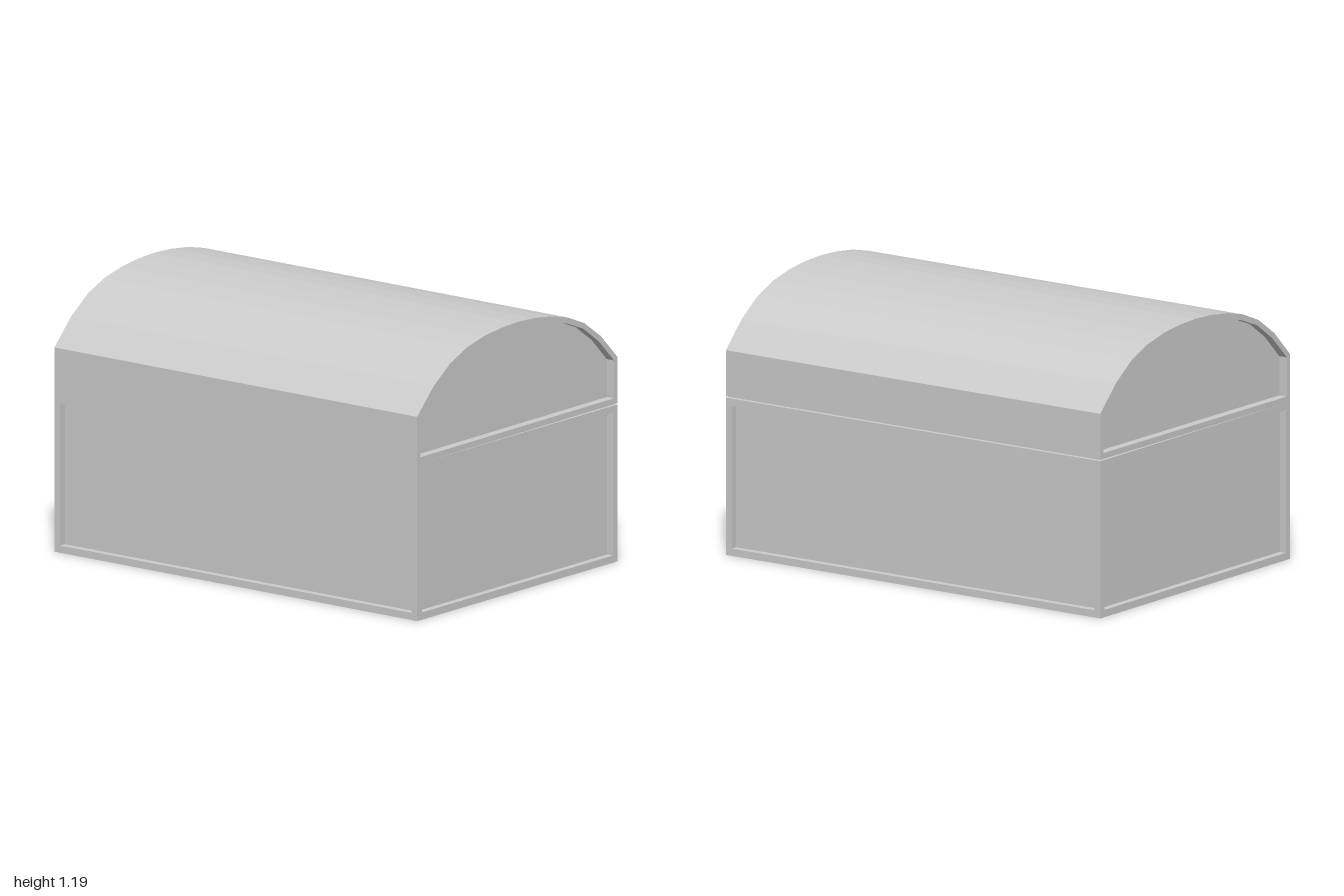
import * as THREE from 'three';

const W = 2, D = 1.38, H = 0.695; // body width, depth, height
const T = 0.032;                  // frame thickness
const mat = new THREE.MeshStandardMaterial({ color: 0xcccccc, flatShading: true });

function add(parent, name, geometry, x = 0, y = 0, z = 0) {
  const mesh = new THREE.Mesh(geometry, mat);
  mesh.name = name;
  mesh.position.set(x, y, z);
  parent.add(mesh);
}

const box = (w, h, d) => new THREE.BoxGeometry(w, h, d);

// Extrudes a cross-section (drawn with back to the right) along the chest's width.
function extrudeAlongX(shape, length) {
  const g = new THREE.ExtrudeGeometry(shape, { depth: length, bevelEnabled: false });
  return g.translate(0, 0, -length / 2).rotateY(Math.PI / 2);
}

// Closed outline: two base corners, then the arch mirrored from its back half.
function archOutline(half, frontBase, backBase) {
  const rightToTop = half.map(([x, y]) => new THREE.Vector2(x, y));
  const topToLeft = half.slice(0, -1).reverse().map(([x, y]) => new THREE.Vector2(-x, y));
  const e = half[0][0];
  return [new THREE.Vector2(-e, frontBase), new THREE.Vector2(e, backBase), ...rightToTop, ...topToLeft];
}

function createBody() {
  const body = new THREE.Group();
  body.name = 'body';
  // recessed panels on all four sides
  add(body, 'bodyPanels', box(W - 2 * T, H, D - 2 * T), 0, H / 2, 0);
  // corner posts
  for (const sx of [-1, 1]) for (const sz of [-1, 1]) {
    add(body, 'cornerPost', box(T, H, T), sx * (W - T) / 2, H / 2, sz * (D - T) / 2);
  }
  // top and bottom rails
  for (const y of [T / 2, H - T / 2]) for (const s of [-1, 1]) {
    add(body, 'longRail', box(W - 2 * T, T, T), 0, y, s * (D - T) / 2);
    add(body, 'endRail', box(T, T, D - 2 * T), s * (W - T) / 2, y, 0);
  }
  return body;
}

function createLid() {
  const lid = new THREE.Group();
  lid.name = 'lid';
  const outer = [[0.69, 0.905], [0.575, 1.02], [0.46, 1.1], [0.345, 1.147],
    [0.23, 1.174], [0.115, 1.188], [0, 1.193]];
  const inner = [[0.665, 0.895], [0.56, 1.0], [0.45, 1.078], [0.337, 1.122],
    [0.225, 1.148], [0.112, 1.162], [0, 1.167]];
  // barrel shell, its base lifted slightly at the back
  const shell = new THREE.Shape(archOutline(outer, H, H + 0.006));
  const opening = archOutline(inner, 0.722, 0.727);
  shell.holes.push(new THREE.Path(opening));
  add(lid, 'lidShell', extrudeAlongX(shell, W));
  // recessed end panels
  add(lid, 'lidEndPanels', extrudeAlongX(new THREE.Shape(opening), W - 0.08));
  return lid;
}

export function createModel() {
  const chest = new THREE.Group();
  chest.name = 'chest';
  chest.add(createBody(), createLid());
  return chest;
}
